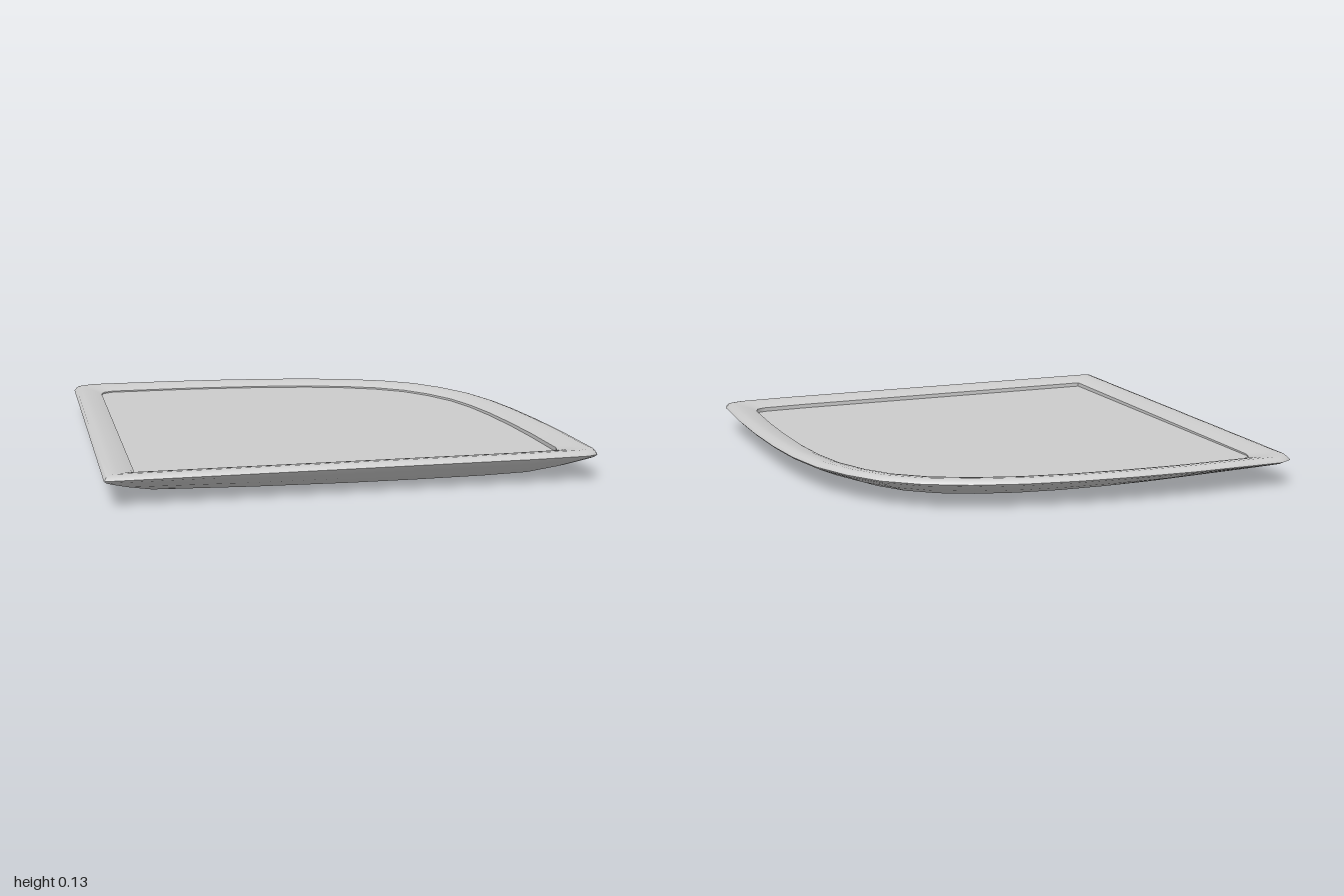
import * as THREE from 'three';
import { toCreasedNormals } from 'three/addons/utils/BufferGeometryUtils.js';

// Plan outline (x, z): one square corner, two small rounded corners, one wide sweep
const outline = [
  [-1, 1], [-1, 0.5], [-1, 0], [-1, -0.5], [-1, -0.92], [-0.985, -0.97], [-0.93, -1],
  [-0.52, -1], [-0.26, -0.985], [-0.02, -0.96], [0.2, -0.92], [0.4, -0.86], [0.57, -0.78],
  [0.71, -0.67], [0.81, -0.53], [0.89, -0.36], [0.94, -0.16], [0.97, 0.06], [0.99, 0.32],
  [1, 0.6], [1, 0.92], [0.985, 0.97], [0.94, 0.99], [0.7, 1], [0.35, 1], [0, 1], [-0.5, 1],
];

// Floor falls slightly to the front; underside dips towards the front, right of centre
const edgeY = 0.109;
const floorY = (x, z) => 0.094 - 0.007 * z;
const bottomY = (x, z) => 0.022 * (0.8 - z) / 1.6 + 0.017 * ((x - 0.25) / 1.05) ** 2;
// Height a fraction k of the way from the underside up to the outer edge
const flank = (k) => (x, z) => THREE.MathUtils.lerp(bottomY(x, z), edgeY, k);

// Sections from centre to edge: [scale of the outline, height function]
const floorSection = [0, 0.45, 0.873].map((s) => [s, floorY]);
const rimSection = [
  [0.873, 0.106], [0.885, 0.111], [0.91, 0.119], [0.94, 0.125], [0.97, 0.128],
  [0.99, 0.122], [1, edgeY],
].map(([s, y]) => [s, () => y]);
const underSection = [
  [0.99, 0.89], [0.965, 0.75], [0.9, 0.43], [0.8, 0.015], [0.785, 0],
  [0.6, 0], [0.4, 0], [0.2, 0], [0, 0],
].map(([s, k]) => [s, flank(k)]);

// Sweep a section around the outline
function loft(section) {
  const pos = [];
  const point = ([s, height], [ox, oz]) => [s * ox, height(s * ox, s * oz), s * oz];
  for (let i = 0; i < section.length - 1; i++) {
    for (let j = 0; j < outline.length; j++) {
      const p = outline[j], q = outline[(j + 1) % outline.length];
      const a = point(section[i], p), b = point(section[i + 1], p);
      const c = point(section[i + 1], q), d = point(section[i], q);
      if (section[i][0] > 0) pos.push(...a, ...d, ...c);
      if (section[i + 1][0] > 0) pos.push(...a, ...c, ...b);
    }
  }
  const geometry = new THREE.BufferGeometry();
  geometry.setAttribute('position', new THREE.Float32BufferAttribute(pos, 3));
  return toCreasedNormals(geometry, 0.9);
}

export function createModel() {
  const group = new THREE.Group();
  group.name = 'tray';
  const material = new THREE.MeshStandardMaterial({ color: 0xcccccc });
  const parts = {
    floor: floorSection,
    rimAndBase: [[0.873, floorY], ...rimSection, ...underSection],
  };
  for (const [name, section] of Object.entries(parts)) {
    const mesh = new THREE.Mesh(loft(section), material);
    mesh.name = name;
    group.add(mesh);
  }
  return group;
}
